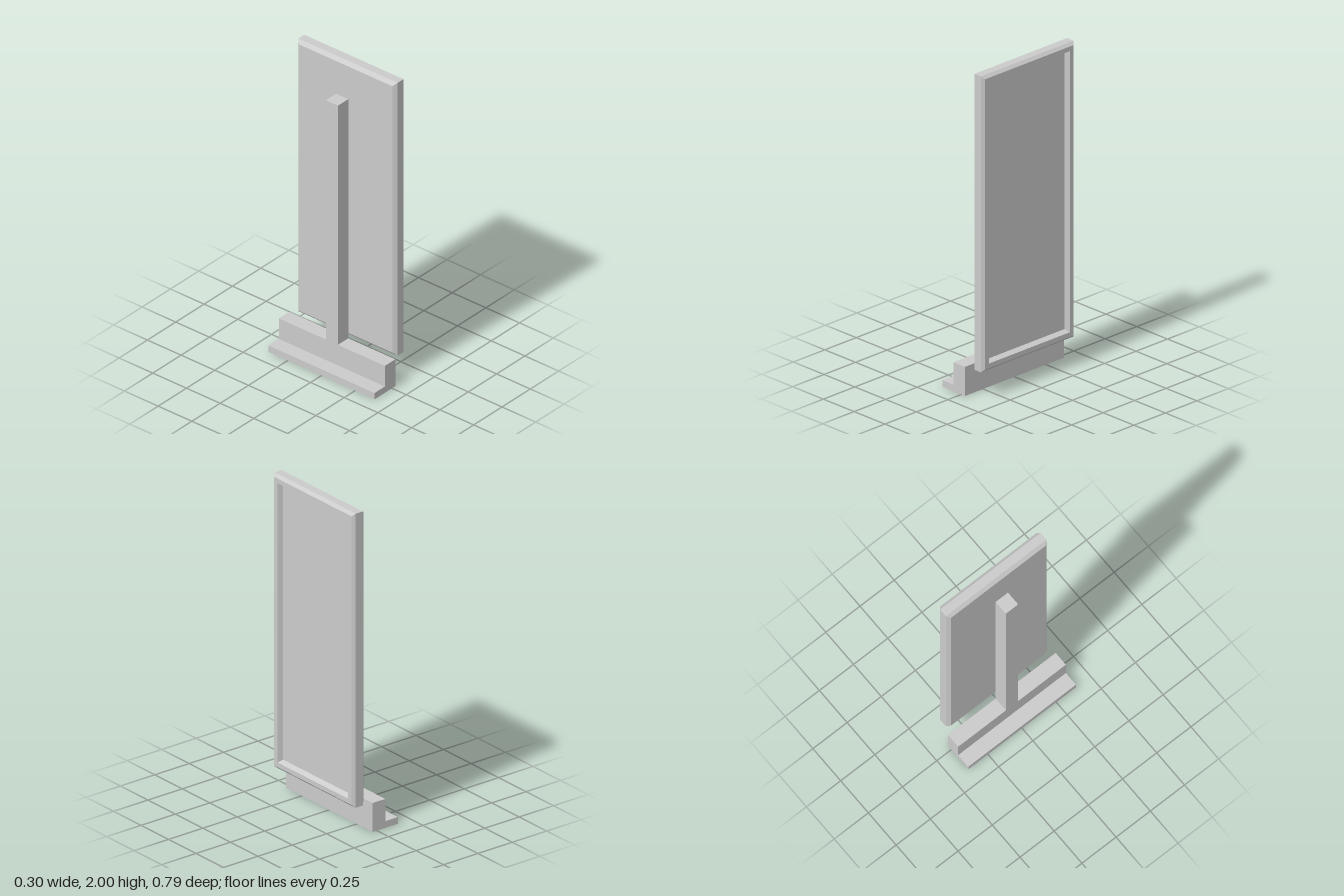
import * as THREE from 'three';

const material = new THREE.MeshStandardMaterial({ color: 0xcccccc, flatShading: true });

function addMesh(group, name, geometry) {
  const mesh = new THREE.Mesh(geometry, material);
  mesh.name = name;
  group.add(mesh);
  return mesh;
}

// Lofts rectangles lying across x; each section is [x, inset from the full outline]
function loftRectangles(sections, halfHeight, halfDepth) {
  const corners = [[-1, 1], [-1, -1], [1, -1], [1, 1]];
  const rings = sections.map(([x, inset]) =>
    corners.map(([y, z]) => [x, y * (halfHeight - inset), z * (halfDepth - inset)]));
  const positions = [];
  const quad = (a, b, c, d) => positions.push(...a, ...b, ...c, ...a, ...c, ...d);

  for (let s = 0; s < rings.length - 1; s++) {
    for (let i = 0; i < 4; i++) {
      const j = (i + 1) % 4;
      quad(rings[s][i], rings[s][j], rings[s + 1][j], rings[s + 1][i]);
    }
  }
  quad(...rings[0].slice().reverse());
  quad(...rings[rings.length - 1]);

  const geometry = new THREE.BufferGeometry();
  geometry.setAttribute('position', new THREE.Float32BufferAttribute(positions, 3));
  geometry.computeVertexNormals();
  return geometry;
}

export function createModel() {
  const group = new THREE.Group();
  group.name = 'standingPanel';

  // L-shaped foot, extruded along z
  const profile = new THREE.Shape([
    [-0.153, 0], [0.03, 0], [0.03, 0.18], [-0.062, 0.18], [-0.062, 0.042], [-0.153, 0.042],
  ].map(([x, y]) => new THREE.Vector2(x, y)));
  const baseGeometry = new THREE.ExtrudeGeometry(profile, { depth: 0.787, bevelEnabled: false });
  baseGeometry.translate(0, 0, -0.3935);
  addMesh(group, 'base', baseGeometry);

  // Upright post standing on the foot
  const post = addMesh(group, 'post', new THREE.BoxGeometry(0.092, 1.605, 0.09));
  post.position.set(-0.016, 0.9825, 0);

  // Panel with chamfered outer edges and a recessed face on the +x side
  const panel = addMesh(group, 'framedPanel', loftRectangles([
    [0.06, 0.021],   // back face
    [0.081, 0],      // back chamfer
    [0.133, 0],      // outer rim
    [0.151, 0.017],  // front chamfer
    [0.151, 0.046],  // frame face
    [0.12, 0.06],    // recess floor
  ], 0.915, 0.368));
  panel.position.y = 1.085;

  return group;
}
